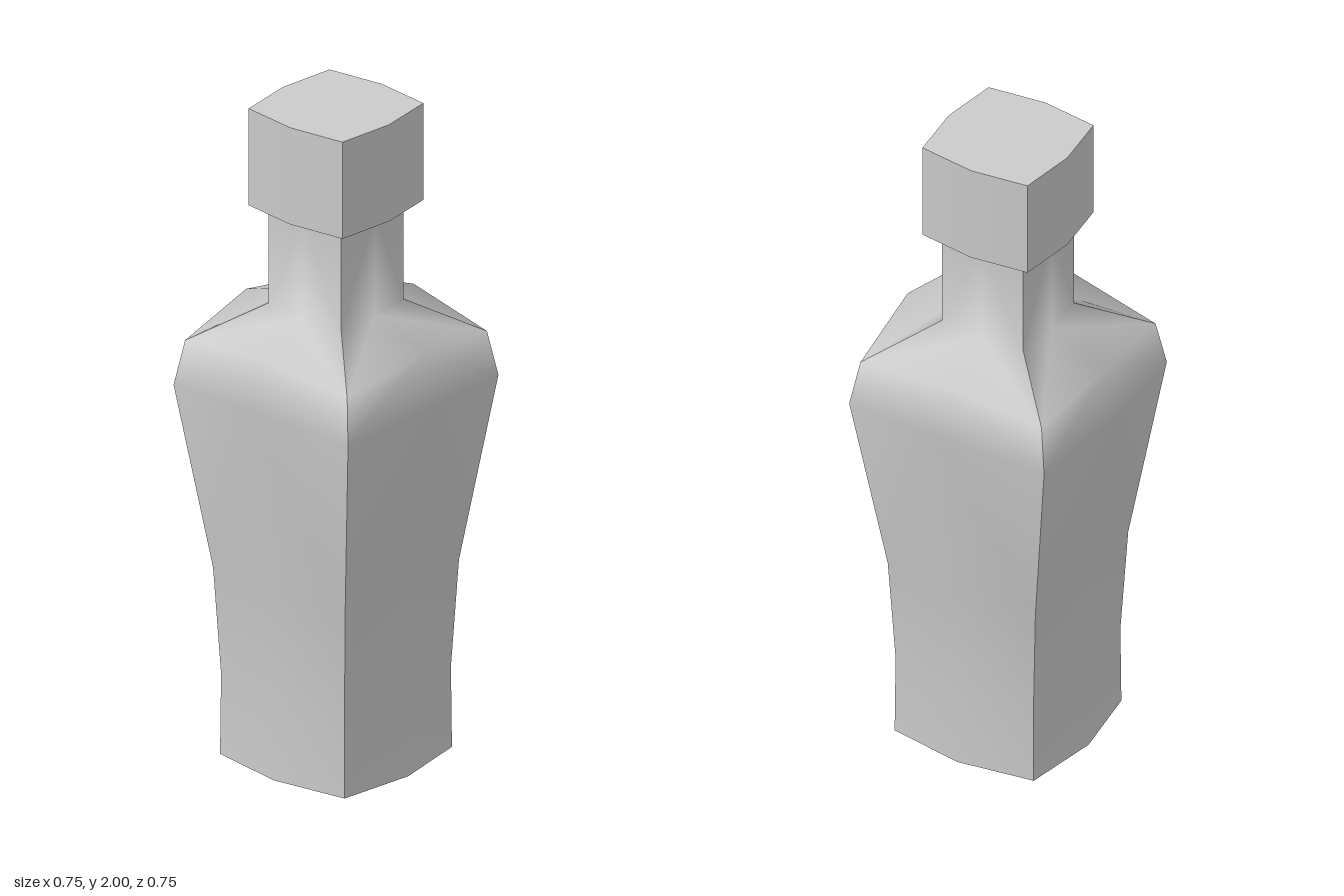
import * as THREE from 'three';
import { mergeGeometries } from 'three/addons/utils/BufferGeometryUtils.js';

// One bowed side panel. Each ring is [corner, cornerY, middle, middleY]:
// corners lie at (+-corner, corner), the middle bulges out to (0, middle).
function sidePanel(rings) {
  const pos = [], idx = [];
  for (const [c, cy, m, my] of rings) pos.push(-c, cy, c, 0, my, m, c, cy, c);
  for (let i = 0; i < rings.length - 1; i++) {
    const a = i * 3, b = a + 3;
    // the two halves are split as mirror images
    idx.push(a, a + 1, b + 1, a, b + 1, b);
    idx.push(a + 1, a + 2, b + 1, a + 2, b + 2, b + 1);
  }
  const g = new THREE.BufferGeometry();
  g.setAttribute('position', new THREE.Float32BufferAttribute(pos, 3));
  g.setIndex(idx);
  g.computeVertexNormals();
  return g;
}

// Flat eight-cornered end face, facing up or down
function endFace([c, y, m], up) {
  const pts = [[m, 0], [c, c], [0, m], [-c, c], [-m, 0], [-c, -c], [0, -m], [c, -c]];
  const g = new THREE.ShapeGeometry(new THREE.Shape(pts.map(p => new THREE.Vector2(...p))));
  g.rotateX(up ? -Math.PI / 2 : Math.PI / 2).translate(0, y, 0);
  g.deleteAttribute('uv');
  return g;
}

// Four panels, smooth within each side and sharp at the corners, closed at both ends
function bowedSquare(name, rings, material) {
  const parts = [endFace(rings[0], false), endFace(rings[rings.length - 1], true)];
  for (let k = 0; k < 4; k++) parts.push(sidePanel(rings).rotateY(k * Math.PI / 2));
  const mesh = new THREE.Mesh(mergeGeometries(parts), material);
  mesh.name = name;
  return mesh;
}

export function createModel() {
  const group = new THREE.Group();
  group.name = 'bottle';
  const material = new THREE.MeshStandardMaterial({ color: 0xcccccc });

  // Bottle: base, waist, shoulder and neck
  group.add(bowedSquare('bottleBody', [
    [0.232, 0, 0.269, 0],
    [0.23, 0.25, 0.263, 0.235],
    [0.246, 0.58, 0.283, 0.585],
    [0.325, 1.15, 0.377, 1.187],
    [0.302, 1.287, 0.335, 1.332],
    [0.135, 1.395, 0.145, 1.395],
    [0.135, 1.7, 0.145, 1.7],
  ], material));

  // Stopper on top of the neck
  group.add(bowedSquare('stopper', [
    [0.175, 1.7, 0.197, 1.7],
    [0.175, 2, 0.197, 2],
  ], material));

  return group;
}
